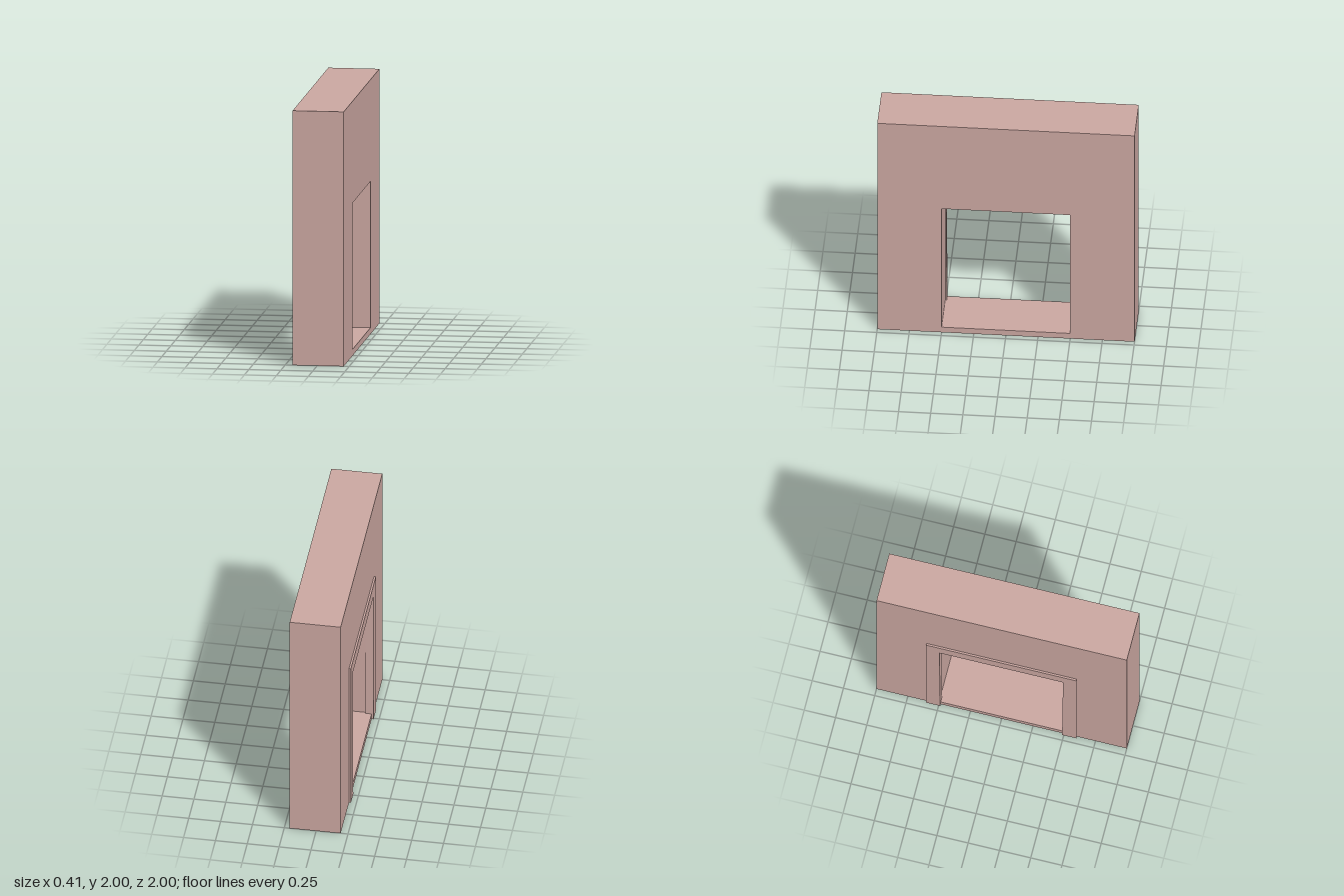
import * as THREE from 'three';

// Closed shape from [z, y] points
const outline = (pts, Kind = THREE.Shape) => new Kind(pts.map(([z, y]) => new THREE.Vector2(z, y)));

// Extrude a z-y profile along x, between x0 and x1
function slab(name, shape, x0, x1, material) {
  const geo = new THREE.ExtrudeGeometry(shape, { depth: x1 - x0, bevelEnabled: false });
  geo.rotateY(-Math.PI / 2);
  geo.translate(x1, 0, 0);
  const mesh = new THREE.Mesh(geo, material);
  mesh.name = name;
  return mesh;
}

// Upside-down U: straight outside, legs widening slightly towards the foot
const arch = (half, top, bottom, innerTop, innerFoot, innerHeight) => outline([
  [-half, bottom], [-innerFoot, bottom], [-innerTop, innerHeight],
  [innerTop, innerHeight], [innerFoot, bottom], [half, bottom],
  [half, top], [-half, top],
]);

export function createModel() {
  const group = new THREE.Group();
  group.name = 'doorwayWall';
  const plaster = new THREE.MeshStandardMaterial({ color: 0xcca8a2, flatShading: true });

  const back = -0.2075, wallBack = -0.1925, front = 0.2075;

  // Thick wall with a doorway above a low sill
  const wall = outline([[-1, 0], [1, 0], [1, 2], [-1, 2]]);
  wall.holes.push(outline([[-0.5, 0.05], [-0.5, 1.2], [0.5, 1.2], [0.5, 0.05]], THREE.Path));
  group.add(slab('wall', wall, wallBack, front, plaster));

  // Casing around the doorway on the -x face
  group.add(slab('doorCasing', arch(0.6, 1.3, 0, 0.494, 0.487, 1.193), back, wallBack, plaster));

  // Thin lining returning from the casing into the opening
  group.add(slab('doorLining', arch(0.501, 1.201, 0.05, 0.494, 0.4875, 1.193), wallBack, -0.145, plaster));

  return group;
}
